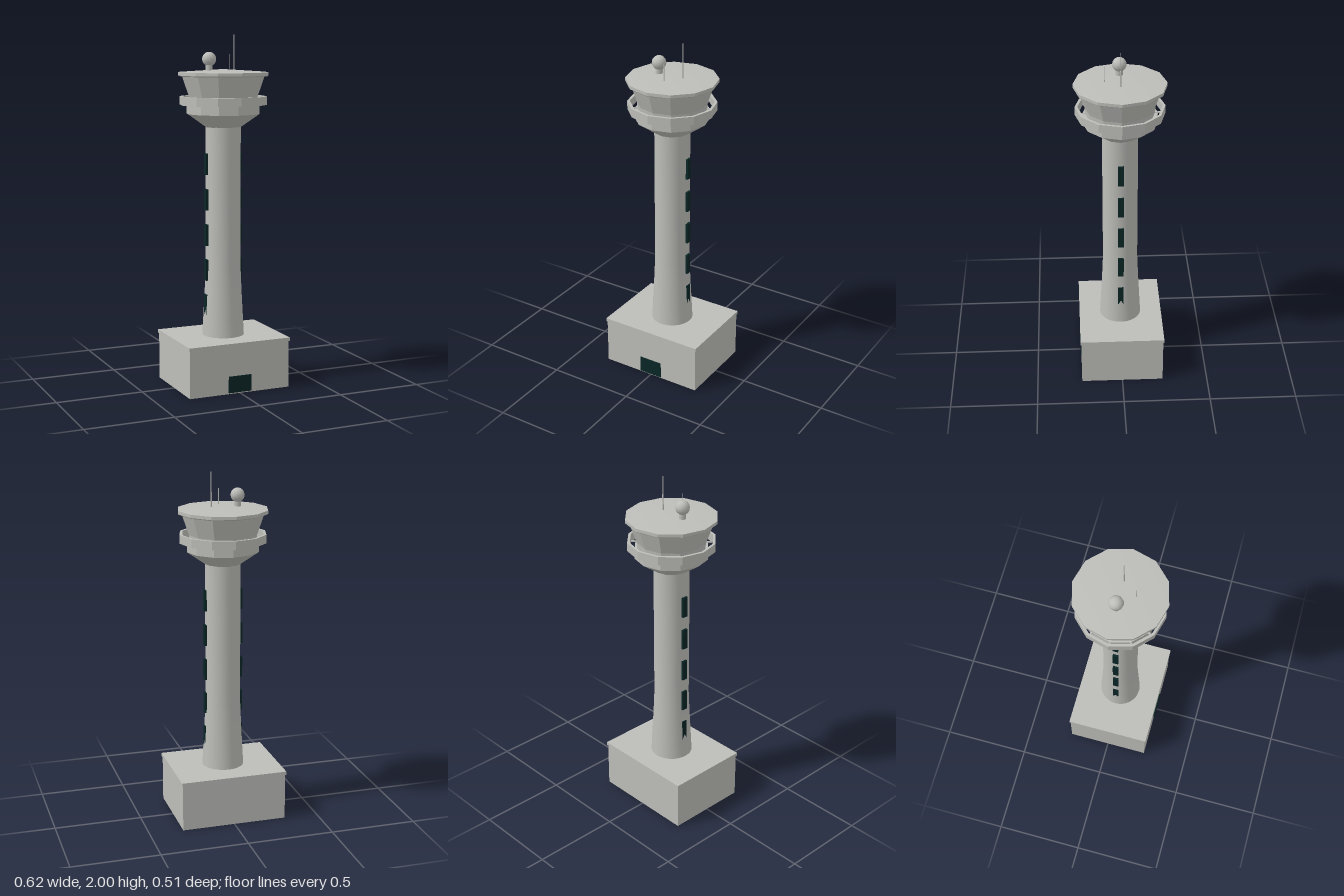
import * as THREE from 'three';
import { toCreasedNormals } from 'three/addons/utils/BufferGeometryUtils.js';

export function createModel() {
  const tower = new THREE.Group();
  tower.name = 'controlTower';

  const concrete = new THREE.MeshStandardMaterial({ color: 0xbdbdb9, side: THREE.DoubleSide });
  concrete.name = 'concrete grey';
  const glass = new THREE.MeshStandardMaterial({ color: 0x0a2626 });
  glass.name = 'dark glass';

  function add(name, geometry, material, x = 0, y = 0, z = 0) {
    const mesh = new THREE.Mesh(geometry, material);
    mesh.name = name;
    mesh.position.set(x, y, z);
    tower.add(mesh);
    return mesh;
  }
  // Revolved [radius, height] profile; edges sharper than the crease angle stay hard
  function turned(profile, sides, crease) {
    const points = profile.map(([r, y]) => new THREE.Vector2(r, y));
    return toCreasedNormals(new THREE.LatheGeometry(points, sides), crease);
  }
  const FLAT = 0.05, SMOOTH = 0.6;

  // Base building: four walls open underneath, covered by a slightly wider roof slab
  const W = 0.305, D = 0.238, H = 0.27;
  for (const s of [-1, 1]) {
    const end = add('baseEndWall', new THREE.PlaneGeometry(2 * D, H), concrete, s * W, H / 2, 0);
    end.rotation.y = s * Math.PI / 2;
    const long = add('baseLongWall', new THREE.PlaneGeometry(2 * W, H), concrete, 0, H / 2, s * D);
    if (s < 0) long.rotation.y = Math.PI;
  }
  add('baseRoof', new THREE.BoxGeometry(0.62, 0.02, 0.487), concrete, 0, 0.28, 0);
  add('door', new THREE.BoxGeometry(0.14, 0.095, 0.006), glass, 0, 0.054, D + 0.002);

  // Shaft with a flared foot
  add('shaft', turned([[0.12, 0.29], [0.113, 0.42], [0.106, 0.55], [0.1, 0.69], [0.1, 1.5]], 32, SMOOTH), concrete);

  // Stair windows up both sides
  for (const s of [-1, 1]) {
    for (let i = 0; i < 5; i++) {
      add('shaftWindow', new THREE.BoxGeometry(0.016, 0.121, 0.032), glass, s * 0.104, 0.47 + i * 0.202, 0);
    }
  }

  // Head: flared underside, lower storey and the outward-leaning cab
  add('headUnderside', turned([[0.1, 1.485], [0.207, 1.56]], 12, SMOOTH), concrete);
  add('lowerStorey', turned([[0.207, 1.56], [0.207, 1.615], [0.19, 1.615]], 12, FLAT), concrete);
  add('cab', turned([[0.19, 1.61], [0.194, 1.655], [0.235, 1.775]], 12, FLAT), concrete);

  // Parapet ring around the cab, carried on short struts
  add('parapet', turned([[0.232, 1.61], [0.247, 1.61], [0.247, 1.658], [0.232, 1.658], [0.232, 1.61]], 12, FLAT), concrete);
  for (let i = 0; i < 12; i++) {
    const a = i * Math.PI / 6;
    const strut = add('parapetStrut', new THREE.BoxGeometry(0.05, 0.008, 0.008), concrete,
      0.212 * Math.cos(a), 1.615, 0.212 * Math.sin(a));
    strut.rotation.y = -a;
  }

  // Roof with a shallow pitch
  add('cabRoof', turned([[0, 1.77], [0.25, 1.77], [0.256, 1.775], [0.256, 1.793], [0, 1.81]], 12, 0.2), concrete);

  // Radar dome on a stub
  add('domeStand', new THREE.CylinderGeometry(0.02, 0.02, 0.05, 12), concrete, -0.085, 1.815, 0);
  add('radarDome', new THREE.SphereGeometry(0.04, 12, 8), concrete, -0.085, 1.866, 0);

  // Antennas
  add('tallAntennaBase', new THREE.CylinderGeometry(0.004, 0.004, 0.1, 8), concrete, 0.067, 1.845, 0);
  add('tallAntenna', new THREE.CylinderGeometry(0.002, 0.002, 0.11, 6), concrete, 0.067, 1.945, 0);
  add('shortAntenna', new THREE.CylinderGeometry(0.002, 0.002, 0.1, 6), concrete, 0, 1.845, 0.084);

  return tower;
}
